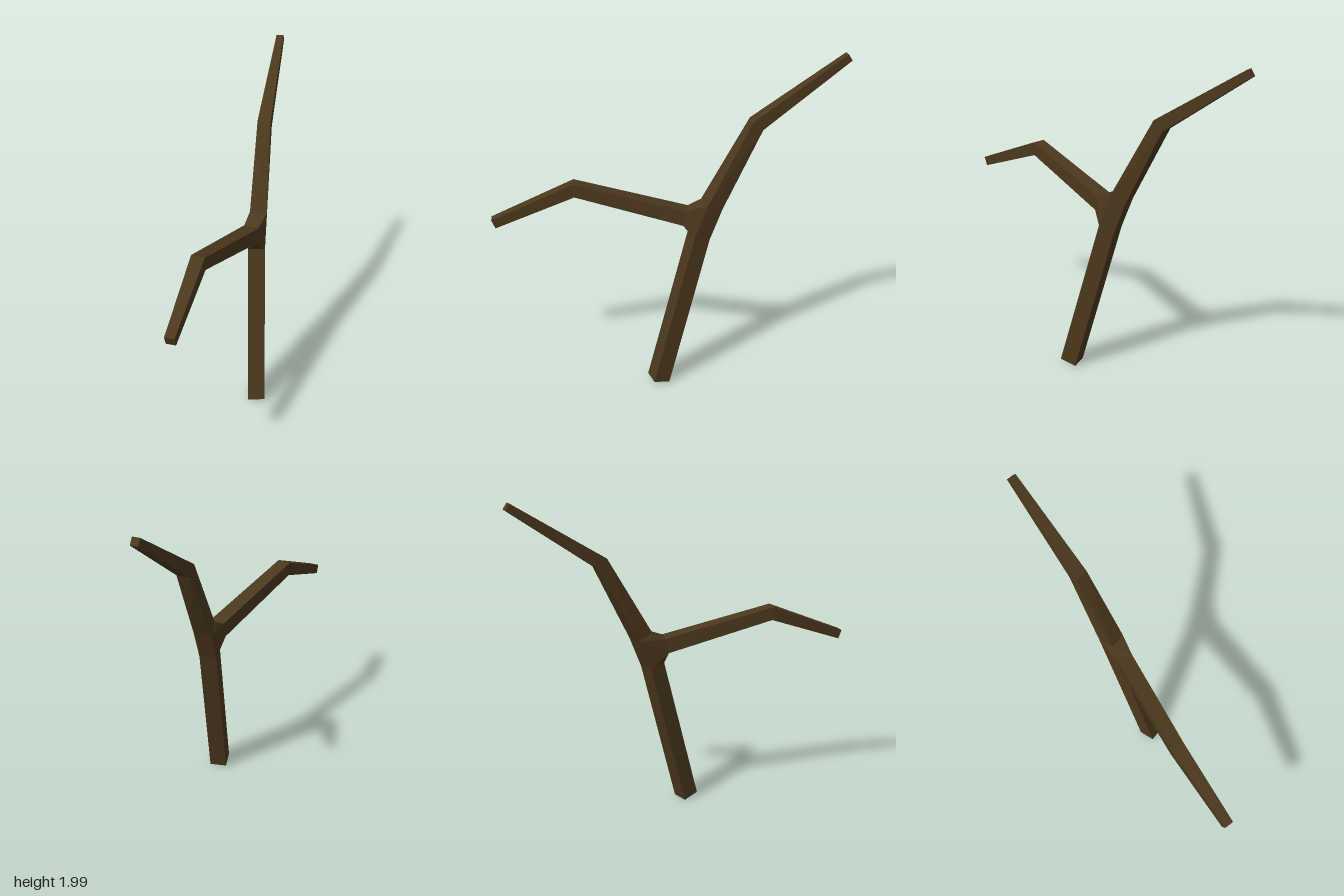
import * as THREE from 'three';
import { ConvexGeometry } from 'three/addons/geometries/ConvexGeometry.js';

const V = (x, y, z) => new THREE.Vector3(x, y, z);
const UP = V(0, 1, 0);

// Square cross-section around a centre, facing along a direction
function ring(center, dir, half) {
  const d = dir.clone().normalize();
  const s = d.clone().cross(UP).normalize();
  const n = s.clone().cross(d);
  return [[1, 1], [-1, 1], [-1, -1], [1, -1]].map(([a, b]) =>
    center.clone().addScaledVector(n, a * half).addScaledVector(s, b * half));
}

// Joins successive square rings, optionally closing either end
function loft(rings, capStart, capEnd) {
  const pos = [];
  const quad = (a, b, c, d) => [a, b, c, a, c, d].forEach(p => pos.push(p.x, p.y, p.z));
  for (let r = 0; r < rings.length - 1; r++) {
    const [a, b] = [rings[r], rings[r + 1]];
    for (let i = 0; i < 4; i++) {
      const j = (i + 1) % 4;
      quad(a[i], a[j], b[j], b[i]);
    }
  }
  if (capStart) quad(...[...rings[0]].reverse());
  if (capEnd) quad(...rings[rings.length - 1]);
  const geo = new THREE.BufferGeometry();
  geo.setAttribute('position', new THREE.Float32BufferAttribute(pos, 3));
  geo.computeVertexNormals();
  return geo;
}

export function createModel() {
  const group = new THREE.Group();
  const bark = new THREE.MeshStandardMaterial({ color: 0x4b381e, flatShading: true });
  const add = (name, geo) => {
    const mesh = new THREE.Mesh(geo, bark);
    mesh.name = name;
    group.add(mesh);
  };

  // Trunk
  const trunkDir = V(0.2, 1.0, -0.17);
  const trunkTop = ring(V(0.195, 0.955, 0.03), trunkDir, 0.05);
  add('trunk', loft([ring(V(0, 0.018, 0.2), trunkDir, 0.051), trunkTop], true, false));

  // Upper branch: fork, elbow, tip
  const upperStart = ring(V(0.26, 1.15, -0.01), V(0.3, 0.92, -0.25), 0.05);
  add('upperBranch', loft([
    upperStart,
    ring(V(0.475, 1.62, -0.143), V(0.6, 0.75, -0.34), 0.039),
    ring(V(0.932, 1.98, -0.39), V(0.46, 0.36, -0.25), 0.022),
  ], false, true));

  // Side branch: fork, elbow, drooping tip
  const sideStart = ring(V(0.118, 1.08, 0.045), V(-0.63, 0.155, 0.16), 0.046);
  add('sideBranch', loft([
    sideStart,
    ring(V(-0.51, 1.235, 0.195), V(-0.95, -0.1, 0.3), 0.04),
    ring(V(-0.943, 1.042, 0.385), V(-0.43, -0.19, 0.19), 0.028),
  ], false, true));

  // Fork joining trunk and both branches
  add('fork', new ConvexGeometry([...trunkTop, ...upperStart, ...sideStart]));
  return group;
}
